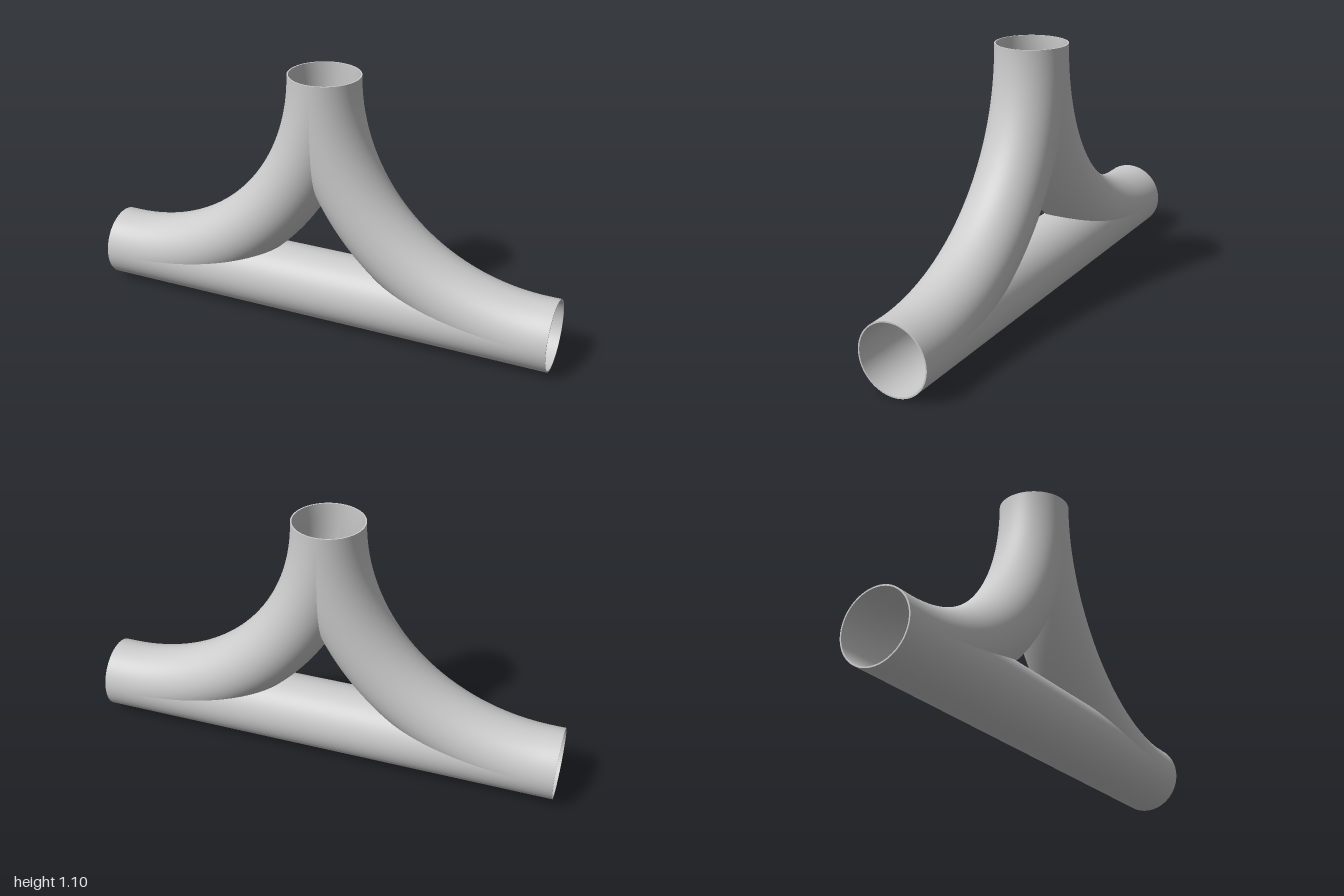
import * as THREE from 'three';
import { mergeGeometries } from 'three/addons/utils/BufferGeometryUtils.js';

const OUTER = 0.149, INNER = 0.143; // pipe radii
const AXIS = 0.149;                 // height of the straight pipe's axis
const BEND = 0.951;                 // centreline radius of the bends
const END = 1;                      // half length of the straight pipe
const AROUND = 72;

// Height of the mitre seams above a centreline, at bend angle phi
const seamToPipe = (phi) => BEND * Math.tan(phi / 2) ** 2;
const seamToTwin = (phi) => BEND * (1 / Math.sin(phi) - 1);

// Bend angles at which a pipe of radius r leaves the straight pipe / meets its twin
const leaveAngle = (r) => 2 * Math.atan(Math.sqrt(r / BEND));
const meetAngle = (r) => Math.asin(BEND / (BEND + r));

// Samples of the lower seam, denser toward the point where it closes
function seamAngles(r, n = 32) {
  return Array.from({ length: n + 1 }, (_, i) => leaveAngle(r) * Math.sin((i / n) * Math.PI / 2));
}

// Skin over cross-sections { x, y, ux, uy, cut }: each is a circle of radius r,
// open where it rises more than cut along the direction (ux, uy).
function skin(sections, r, inward) {
  const pos = [], nor = [], idx = [], sign = inward ? -1 : 1;
  sections.forEach(({ x, y, ux, uy, cut }, i) => {
    const start = Math.acos(Math.min(1, cut / r));
    for (let j = 0; j <= AROUND; j++) {
      const t = start + (2 * Math.PI - 2 * start) * (j / AROUND);
      const c = Math.cos(t), s = Math.sin(t);
      pos.push(x + r * c * ux, y + r * c * uy, r * s);
      nor.push(sign * c * ux, sign * c * uy, sign * s);
      if (i && j) {
        const d = i * (AROUND + 1) + j, b = d - AROUND - 1;
        if (inward) idx.push(b - 1, d - 1, b, b, d - 1, d);
        else idx.push(b - 1, b, d - 1, b, d, d - 1);
      }
    }
  });
  const g = new THREE.BufferGeometry();
  g.setAttribute('position', new THREE.Float32BufferAttribute(pos, 3));
  g.setAttribute('normal', new THREE.Float32BufferAttribute(nor, 3));
  g.setIndex(idx);
  return g;
}

// Straight pipe, its top opened where the bends join
function pipeSections(r) {
  const half = seamAngles(r).reverse().map((phi) => {
    const cut = seamToPipe(phi);
    return { x: BEND - (BEND + cut) * Math.sin(phi), y: AXIS, ux: 0, uy: 1, cut };
  });
  half[0].cut = r;
  half.push({ x: END, y: AXIS, ux: 0, uy: 1, cut: 0 });
  return [...half.map((s) => ({ ...s, x: -s.x })).reverse(), ...half];
}

// Quarter bend from a pipe end up to the outlet
function bendSections(r, side) {
  const a = leaveAngle(r), b = meetAngle(r), n = 32;
  const angles = seamAngles(r);
  for (let i = 1; i <= 12; i++) angles.push(a + (b - a) * (i / 12));
  for (let i = 1; i <= n; i++) {
    angles.push(b + (Math.PI / 2 - b) * (1 - Math.cos((i / n) * Math.PI / 2)));
  }
  const list = angles.map((phi) => {
    const s = Math.sin(phi), c = Math.cos(phi);
    const cut = phi <= a ? seamToPipe(phi) : phi <= b ? r : Math.max(0, seamToTwin(phi));
    return {
      x: side * BEND * (1 - s), y: AXIS + BEND * (1 - c), ux: -side * s, uy: -c, cut,
    };
  });
  list.unshift({ x: side * END, y: AXIS, ux: 0, uy: -1, cut: 0 });
  return side > 0 ? list : list.reverse();
}

export function createModel() {
  const group = new THREE.Group();
  const material = new THREE.MeshStandardMaterial({ color: 0xcccccc, side: THREE.DoubleSide });
  const add = (name, geometry) => {
    const mesh = new THREE.Mesh(geometry, material);
    mesh.name = name;
    group.add(mesh);
    return mesh;
  };
  // Outer and inner wall of one pipe
  const wall = (sections) => mergeGeometries([
    skin(sections(OUTER), OUTER, false),
    skin(sections(INNER), INNER, true),
  ]);

  add('straightPipe', wall(pipeSections));
  for (const [name, side] of [['left', 1], ['right', -1]]) {
    add(name + 'Bend', wall((r) => bendSections(r, side)));
    const rim = add(name + 'Rim', new THREE.RingGeometry(INNER, OUTER, AROUND));
    rim.rotation.y = side * Math.PI / 2;
    rim.position.set(side * END, AXIS, 0);
  }

  // Rim of the upright outlet
  const rim = add('topRim', new THREE.RingGeometry(INNER, OUTER, AROUND));
  rim.rotation.x = -Math.PI / 2;
  rim.position.y = AXIS + BEND;
  return group;
}
